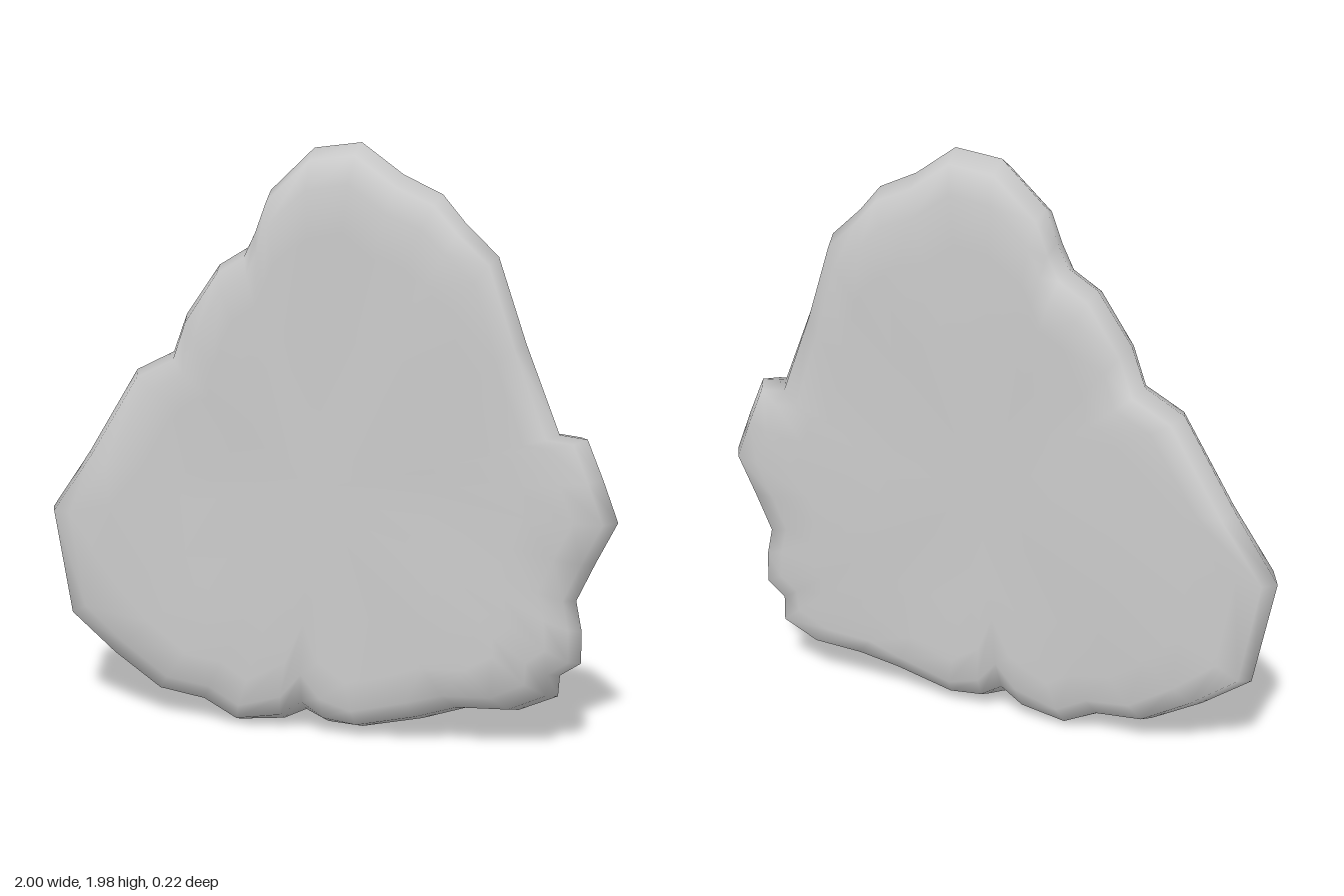
import * as THREE from 'three';

// Outline of the slab, counter-clockwise from its lowest point
const RIM = [
  [-0.29, 0], [-0.13, 0.02], [-0.05, 0.06], [0.03, 0.025], [0.15, 0.02], [0.36, 0.07],
  [0.5, 0.11], [0.68, 0.12], [0.81, 0.18], [0.82, 0.26], [0.89, 0.31], [0.89, 0.42],
  [0.87, 0.52], [0.93, 0.65], [1, 0.79], [0.95, 0.93], [0.9, 1.06], [0.81, 1.07],
  [0.7, 1.36], [0.6, 1.63], [0.49, 1.73], [0.41, 1.82], [0.28, 1.88], [0.14, 1.98],
  [-0.02, 1.96], [-0.17, 1.82], [-0.21, 1.71], [-0.25, 1.63], [-0.35, 1.57], [-0.47, 1.4],
  [-0.52, 1.27], [-0.66, 1.2], [-0.85, 0.9], [-1, 0.69], [-0.93, 0.32], [-0.76, 0.19],
  [-0.58, 0.08], [-0.41, 0.06],
];
const CENTRE = [0, 0.85];

// Cross-section from front to back: inset in bevel widths, z
const SECTION = [
  [4.5, 0.1], [2.2, 0.103], [1, 0.096], [0.3, 0.064], [0, 0],
  [0.3, -0.064], [1, -0.096], [2.2, -0.103], [4.5, -0.1],
];

const bump = (t, width) => Math.exp(-((t / width) ** 2));

// The sharp ridge leans back on the right and low left, forward on the upper left
function ridgeZ(x, y) {
  if (x < -0.45) return -0.09 * (-x - 0.45);
  if (x > 0.45) return 0.05 * bump(y - 1.3, 0.35) - 0.04 * bump(y - 0.15, 0.1);
  return 0;
}

// The bevel is widest at the far corners and in the notch underneath
function bevelWidth(x, y) {
  const notch = y < 0.1 ? 0.07 * bump(x + 0.05, 0.08) : 0;
  return 0.08 + 0.05 * x * x + 0.05 * bump(y - 1.98, 0.2) + notch;
}

function slabGeometry() {
  const n = RIM.length, pos = [], index = [];
  for (const [inset, z] of SECTION) {
    for (const [x, y] of RIM) {
      const dx = x - CENTRE[0], dy = y - CENTRE[1];
      const r = Math.hypot(dx, dy);
      const k = 1 - Math.min(inset * bevelWidth(x, y), r * 0.6) / r;
      const px = CENTRE[0] + dx * k, py = CENTRE[1] + dy * k;
      // Gentle waves on the broad faces, ridge offset fading inwards
      const wave = inset >= 1 ? 0.006 * Math.sin(px * 7 + 1) * Math.cos(py * 6 + Math.sign(z)) : 0;
      pos.push(px, py, z + Math.sign(z) * wave + ridgeZ(x, y) * Math.max(0, 1 - inset));
    }
  }
  for (let s = 0; s < SECTION.length - 1; s++) {
    for (let i = 0; i < n; i++) {
      const j = (i + 1) % n;
      const a = s * n + i, b = s * n + j, c = a + n, d = b + n;
      index.push(a, c, b, b, c, d);
    }
  }
  // Close both broad faces
  const front = pos.length / 3, last = (SECTION.length - 1) * n;
  pos.push(...CENTRE, 0.1, ...CENTRE, -0.1);
  for (let i = 0; i < n; i++) {
    const j = (i + 1) % n;
    index.push(front, i, j, front + 1, last + j, last + i);
  }
  const geo = new THREE.BufferGeometry();
  geo.setAttribute('position', new THREE.Float32BufferAttribute(pos, 3));
  geo.setIndex(index);
  geo.computeVertexNormals();
  return geo;
}

export function createModel() {
  const group = new THREE.Group();
  group.name = 'stoneSlab';
  const slab = new THREE.Mesh(slabGeometry(), new THREE.MeshStandardMaterial({ color: 0xcccccc }));
  slab.name = 'slab';
  group.add(slab);
  return group;
}
